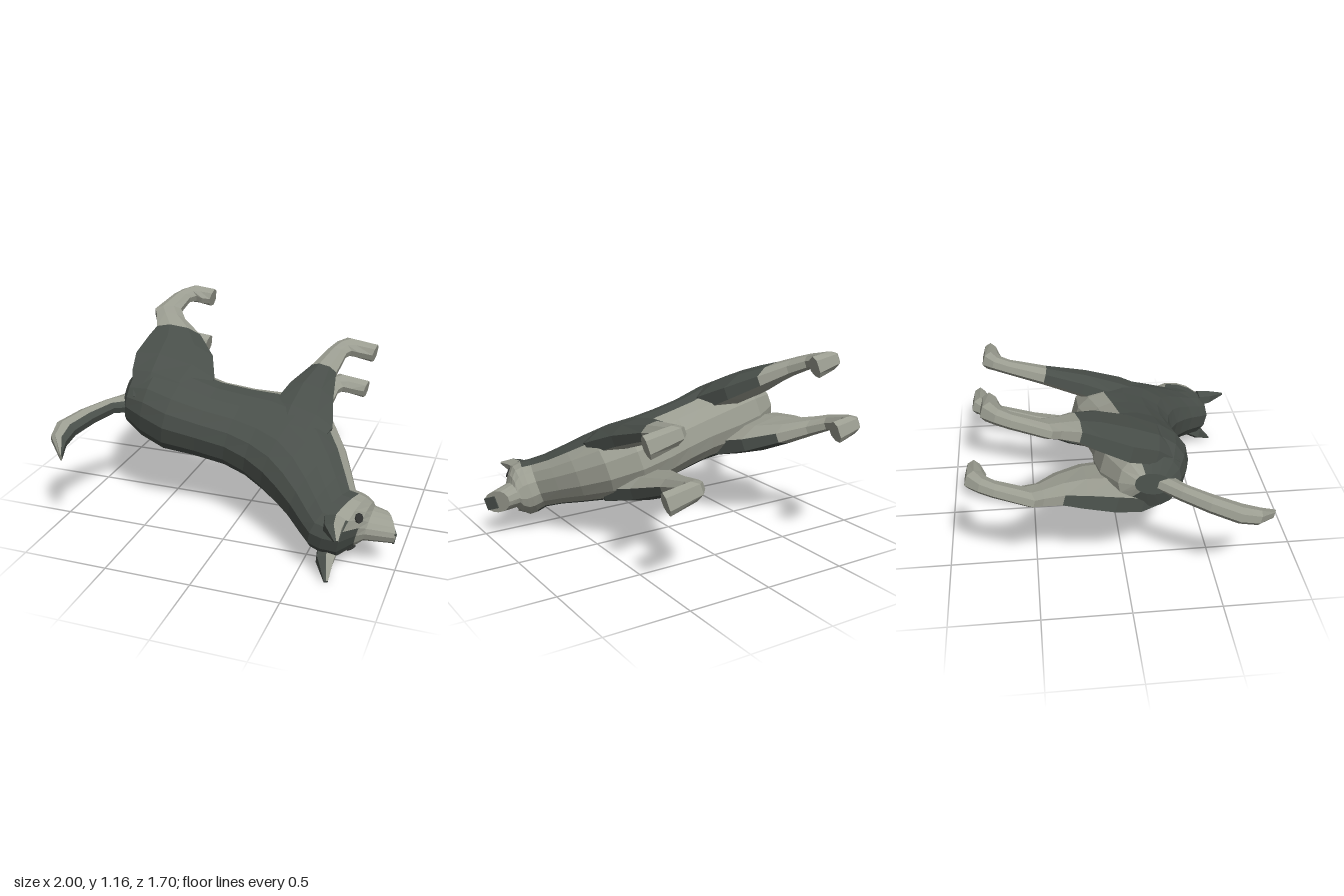
import * as THREE from 'three';

const dark = new THREE.MeshStandardMaterial({ color: 0x494f4a });
dark.name = 'dark coat';
const light = new THREE.MeshStandardMaterial({ color: 0x9b9d91 });
light.name = 'light coat';
const black = new THREE.MeshStandardMaterial({ color: 0x303230 });
black.name = 'eye black';

// Facetted skin over rings. Ring: [z1, y1, z2, y2, halfWidth, xCentre, flare], where
// the two points are opposite ends of the ring in side profile and flare widens the first end.
// isLight(i, c, s): i = band, c = 1 at first end .. -1 at second, s = outward side.
function loft(name, rings, sides, isLight, mirror = 1) {
  const grow = 1 / Math.cos(Math.PI / sides);
  const pts = rings.map(([z1, y1, z2, y2, w, x = 0, flare = 0]) => {
    const ring = [];
    for (let k = 0; k < sides; k++) {
      const t = ((k + 0.5) / sides) * Math.PI * 2;
      const c = Math.cos(t) * grow;
      const s = Math.sign(Math.sin(t)) * Math.abs(Math.sin(t)) ** 0.85;
      ring.push(new THREE.Vector3(
        mirror * (x + w * s * (1 + flare * c)),
        (y1 + y2) / 2 + ((y1 - y2) / 2) * c,
        (z1 + z2) / 2 + ((z1 - z2) / 2) * c));
    }
    return ring;
  });
  const tris = [[], []];
  let volume = 0;
  const add = (lit, a, b, c) => {
    volume += a.dot(b.clone().cross(c));
    tris[lit ? 1 : 0].push([a, b, c]);
  };
  for (let i = 0; i < pts.length - 1; i++) {
    for (let k = 0; k < sides; k++) {
      const n = (k + 1) % sides;
      const t = ((k + 1) / sides) * Math.PI * 2;
      const lit = isLight(i, Math.cos(t), Math.sin(t));
      add(lit, pts[i][k], pts[i + 1][k], pts[i + 1][n]);
      add(lit, pts[i][k], pts[i + 1][n], pts[i][n]);
    }
  }
  // end caps
  const last = pts.length - 1;
  for (let k = 1; k < sides - 1; k++) {
    add(isLight(0, 0, 1), pts[0][0], pts[0][k], pts[0][k + 1]);
    add(isLight(last - 1, 0, 1), pts[last][0], pts[last][k + 1], pts[last][k]);
  }
  const geo = new THREE.BufferGeometry();
  geo.setFromPoints([...tris[0], ...tris[1]].flatMap(([a, b, c]) => (volume < 0 ? [a, c, b] : [a, b, c])));
  geo.addGroup(0, tris[0].length * 3, 0);
  geo.addGroup(tris[0].length * 3, tris[1].length * 3, 1);
  geo.computeVertexNormals();
  const mesh = new THREE.Mesh(geo, [dark, light]);
  mesh.name = name;
  return mesh;
}

const bodyRings = [
  // rump to shoulders (back line, belly line, half width)
  [-0.70, 1.06, -0.75, 0.86, 0.06],
  [-0.66, 1.12, -0.71, 0.78, 0.15],
  [-0.54, 1.17, -0.56, 0.70, 0.215],
  [-0.38, 1.21, -0.38, 0.68, 0.225],
  [-0.18, 1.19, -0.18, 0.69, 0.205],
  [0.00, 1.18, 0.00, 0.66, 0.205],
  [0.14, 1.21, 0.16, 0.61, 0.21],
  [0.27, 1.27, 0.36, 0.61, 0.22],
  // chest and neck
  [0.38, 1.34, 0.53, 0.71, 0.205],
  [0.49, 1.42, 0.65, 0.88, 0.18],
  [0.59, 1.51, 0.73, 1.03, 0.16],
  [0.65, 1.56, 0.80, 1.17, 0.155],
  // head and muzzle
  [0.72, 1.57, 0.85, 1.18, 0.165],
  [0.81, 1.555, 0.88, 1.19, 0.16],
  [0.88, 1.46, 0.91, 1.20, 0.12],
  [0.92, 1.42, 0.92, 1.20, 0.078],
  [1.08, 1.37, 0.985, 1.205, 0.066],
];

const hindLegRings = [
  [-0.62, 1.10, -0.36, 1.10, 0.04, 0.10],
  [-0.70, 0.95, -0.26, 0.98, 0.09, 0.14],
  [-0.75, 0.80, -0.23, 0.80, 0.10, 0.145],
  [-0.75, 0.63, -0.32, 0.62, 0.085, 0.165],
  [-0.745, 0.52, -0.47, 0.47, 0.065, 0.18],
  [-0.80, 0.41, -0.62, 0.37, 0.05, 0.19],
  [-0.835, 0.36, -0.69, 0.28, 0.043, 0.192],
  [-0.80, 0.15, -0.69, 0.14, 0.042, 0.192],
  [-0.77, 0.07, -0.66, 0.10, 0.045, 0.192],
  [-0.71, 0.00, -0.62, 0.105, 0.052, 0.192, 0.2],
  [-0.56, 0.00, -0.57, 0.09, 0.06, 0.192, 0.3],
];

const frontLegRings = [
  [0.26, 1.15, 0.44, 1.18, 0.04, 0.10],
  [0.19, 1.00, 0.51, 1.02, 0.07, 0.14],
  [0.16, 0.83, 0.54, 0.87, 0.085, 0.145],
  [0.19, 0.62, 0.47, 0.64, 0.075, 0.16],
  [0.25, 0.38, 0.41, 0.38, 0.055, 0.157],
  [0.29, 0.16, 0.41, 0.15, 0.043, 0.152],
  [0.32, 0.06, 0.43, 0.11, 0.045, 0.152],
  [0.37, 0.00, 0.48, 0.105, 0.054, 0.152, 0.2],
  [0.58, 0.00, 0.565, 0.09, 0.062, 0.152, 0.3],
];

const earRings = [
  [0.70, 1.49, 0.81, 1.47, 0.055, 0.105],
  [0.72, 1.57, 0.81, 1.56, 0.045, 0.13],
  [0.80, 1.67, 0.82, 1.66, 0.008, 0.165],
];

const tailRings = [
  [-0.62, 1.083, -0.716, 0.99, 0.045],
  [-0.72, 1.146, -0.80, 1.104, 0.045],
  [-0.783, 1.28, -0.887, 1.25, 0.048],
  [-0.827, 1.417, -0.95, 1.406, 0.05],
  [-0.827, 1.52, -0.924, 1.52, 0.045],
  [-0.79, 1.63, -0.806, 1.63, 0.025],
];

export function createModel() {
  const dog = new THREE.Group();
  dog.name = 'dog';

  // dark back, light belly, chest and face
  dog.add(loft('body and head', bodyRings, 16, (i, c) => {
    if (i >= 14) return true;
    if (i === 13) return c < 0.8;
    if (i === 12) return c < 0.6;
    return c < -0.5;
  }));
  dog.add(loft('tail', tailRings, 8, (i, c) => c < 0.3));

  // upper legs dark outside and light inside, lower legs light all round
  const legIsLight = (i, c, s) => i >= 4 || (i > 0 && s < -0.1);
  for (const side of [1, -1]) {
    const label = side > 0 ? 'left' : 'right';
    dog.add(loft(label + ' hind leg', hindLegRings, 8, legIsLight, side));
    dog.add(loft(label + ' front leg', frontLegRings, 8, legIsLight, side));
    dog.add(loft(label + ' ear', earRings, 6, (i, c) => c < -0.3, side));

    // eye disc lying on the face
    const normal = new THREE.Vector3(0.63 * side, 0.33, 0.7).normalize();
    const eye = new THREE.Mesh(new THREE.CylinderGeometry(0.028, 0.028, 0.009, 8), black);
    eye.name = label + ' eye';
    eye.position.set(0.118 * side, 1.415, 0.865).addScaledVector(normal, 0.006);
    eye.quaternion.setFromUnitVectors(new THREE.Vector3(0, 1, 0), normal);
    dog.add(eye);
  }

  // nose pad on the upper half of the muzzle tip
  const nose = new THREE.Mesh(new THREE.BoxGeometry(0.075, 0.085, 0.012), dark);
  nose.name = 'nose';
  nose.position.set(0, 1.326, 1.056);
  nose.rotation.x = 0.522;
  dog.add(nose);

  // the dog lies tipped over on its right side
  const left = new THREE.Vector3(0.205, 0.94, 0.28).normalize();
  const forward = new THREE.Vector3(0.978, -0.206, -0.009);
  forward.addScaledVector(left, -forward.dot(left)).normalize();
  const up = forward.clone().cross(left);
  dog.quaternion.setFromRotationMatrix(new THREE.Matrix4().makeBasis(left, up, forward));
  dog.position.set(0, 0.775, -0.8);

  const model = new THREE.Group();
  model.name = 'model';
  model.add(dog);
  return model;
}
